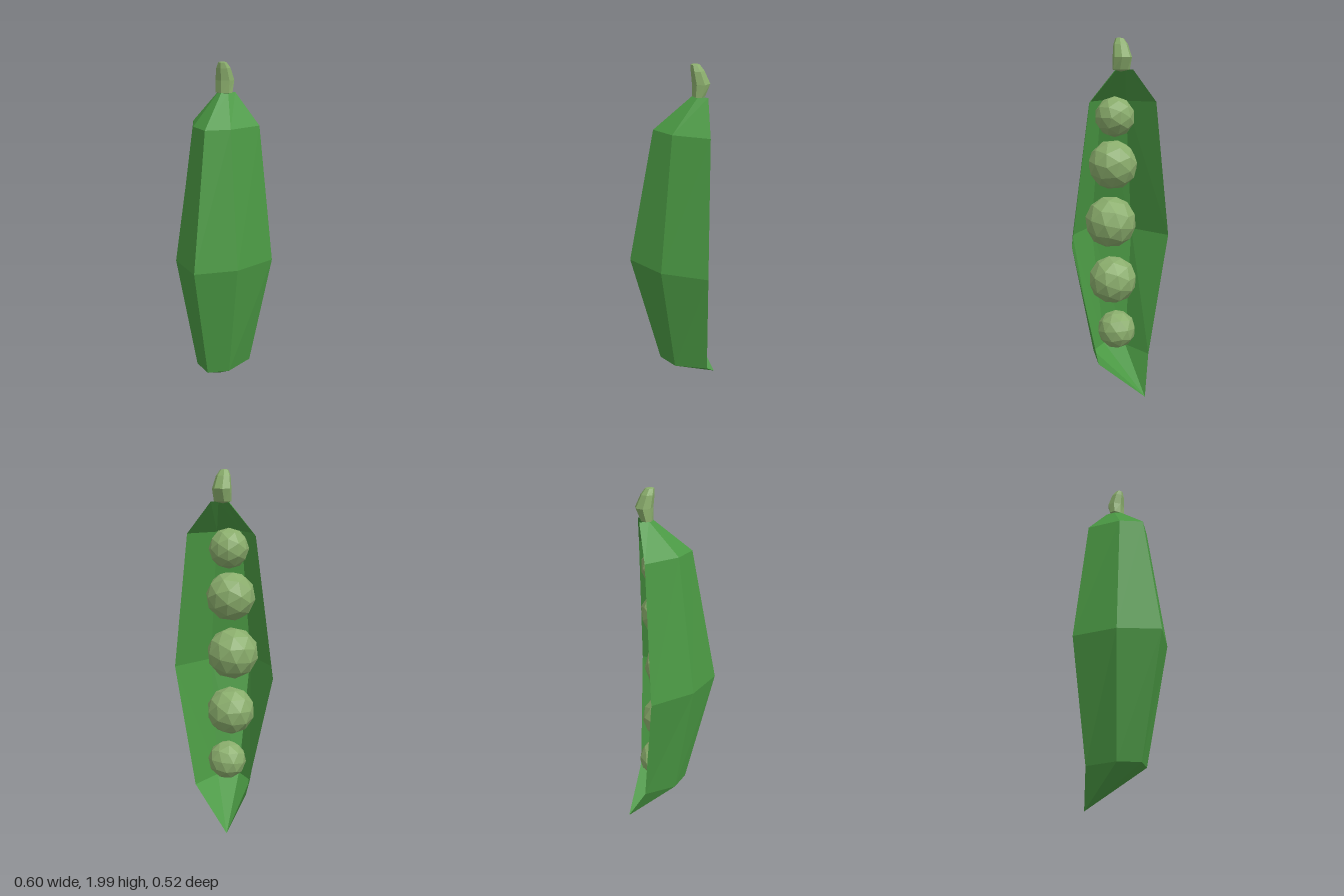
import * as THREE from 'three';

// Skins a list of cross-sections (top to bottom, each running left to right across the front)
function loft(rings) {
  const n = rings[0].length;
  const index = [];
  for (let i = 0; i < rings.length - 1; i++) {
    for (let j = 0; j < n - 1; j++) {
      const a = i * n + j, b = a + 1, c = a + n, d = c + 1;
      index.push(a, c, b, b, c, d);
    }
  }
  const geometry = new THREE.BufferGeometry();
  geometry.setAttribute('position', new THREE.Float32BufferAttribute(rings.flat(2), 3));
  geometry.setIndex(index);
  const flat = geometry.toNonIndexed();
  flat.computeVertexNormals();
  return flat;
}

export function createModel() {
  const group = new THREE.Group();
  const podMaterial = new THREE.MeshStandardMaterial({ color: 0x4a9843, flatShading: true, side: THREE.DoubleSide });
  const peaMaterial = new THREE.MeshStandardMaterial({ color: 0x8aad6c, flatShading: true });

  const add = (name, geometry, material) => {
    const mesh = new THREE.Mesh(geometry, material);
    mesh.name = name;
    group.add(mesh);
    return mesh;
  };

  // Pod: open shell, five points per section: rim, side, keel, side, rim
  const section = (y, rimX, rimZ, sideX, sideZ, keelZ) => [
    [-rimX, y, rimZ], [-sideX, y, sideZ], [0, y, keelZ], [sideX, y, sideZ], [rimX, y, rimZ],
  ];
  const tip = Array.from({ length: 5 }, () => [-0.085, 0.01, -0.262]);
  add('pod', loft([
    section(1.835, 0.05, -0.16, 0.03, -0.11, -0.085),
    section(1.665, 0.2, -0.147, 0.11, 0.035, 0.12),
    section(0.91, 0.3, -0.132, 0.19, 0.11, 0.262),
    section(0.22, 0.16, -0.165, 0.105, 0.02, 0.095),
    tip,
  ]), podMaterial);

  // Stem: seven-sided, leaning forward, closed at both ends
  const stemRing = (y, rx, z, rz) => Array.from({ length: 8 }, (_, i) => {
    const t = (i % 7) / 7 * Math.PI * 2;
    return [Math.sin(t) * rx, y, z + Math.cos(t) * rz];
  });
  add('stem', loft([
    stemRing(2.0, 0, -0.09, 0),
    stemRing(1.995, 0.022, -0.1, 0.024),
    stemRing(1.965, 0.04, -0.112, 0.036),
    stemRing(1.9, 0.053, -0.131, 0.048),
    stemRing(1.835, 0.05, -0.118, 0.034),
    stemRing(1.825, 0, -0.118, 0),
  ]), peaMaterial);

  // Peas: height, depth, radius
  [
    [1.585, -0.045, 0.11],
    [1.32, -0.022, 0.138],
    [0.99, 0.005, 0.147],
    [0.655, -0.022, 0.138],
    [0.37, -0.072, 0.11],
  ].forEach(([y, z, r], i) => {
    const pea = add('pea' + (i + 1), new THREE.IcosahedronGeometry(r, 1), peaMaterial);
    pea.position.set(0, y, z);
    pea.rotation.set(i * 1.3, i * 0.8 + 0.4, i * 2.1);
  });

  return group;
}
